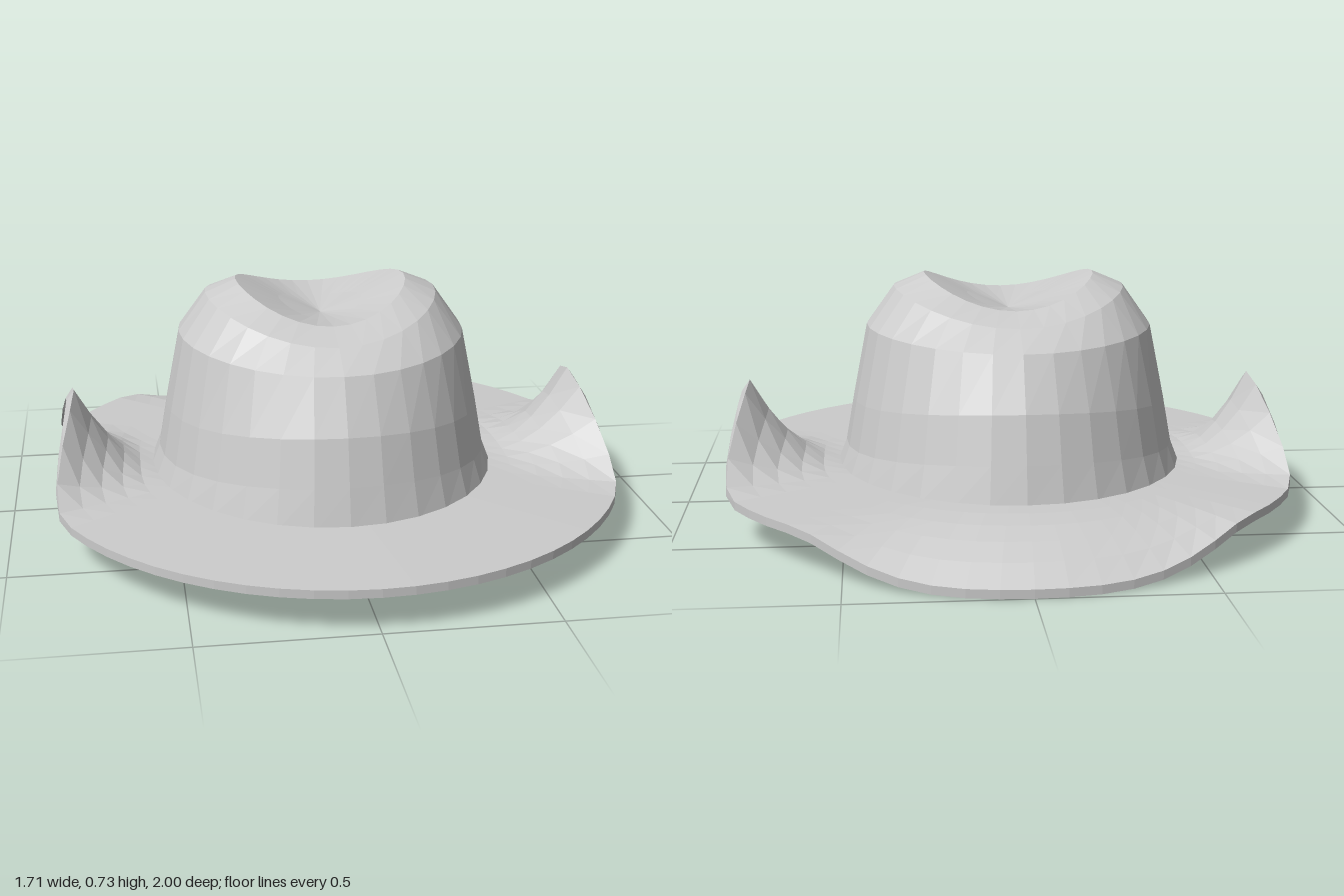
import * as THREE from 'three';

const CENTRE_X = -0.02; // the crown sits a touch off centre

// Skin a stack of rings; pointAt(ring, angle) gives [x, y, z].
function loft(rings, segments, pointAt) {
  const pos = [], idx = [];
  for (const ring of rings) {
    for (let j = 0; j < segments; j++) pos.push(...pointAt(ring, (j / segments) * Math.PI * 2));
  }
  for (let i = 0; i < rings.length - 1; i++) {
    for (let j = 0; j < segments; j++) {
      const k = (j + 1) % segments;
      const a = i * segments + j, b = i * segments + k;
      const c = b + segments, d = a + segments;
      if (rings[i].rx !== 0) idx.push(a, b, c);
      if (rings[i + 1].rx !== 0) idx.push(a, c, d);
    }
  }
  const geo = new THREE.BufferGeometry();
  geo.setAttribute('position', new THREE.Float32BufferAttribute(pos, 3));
  geo.setIndex(idx);
  geo.computeVertexNormals();
  return geo;
}

// Crown: each ring is an ellipse whose height differs at the sides and at front/back.
function crownGeometry() {
  const outer = [
    [0.545, 0.62, 0.125, 0.125],
    [0.515, 0.592, 0.2, 0.25],
    [0.49, 0.56, 0.34, 0.39],
    [0.445, 0.487, 0.57, 0.55],
    [0.36, 0.39, 0.69, 0.608],
    [0.265, 0.29, 0.73, 0.645],
    [0.13, 0.145, 0.665, 0.63],
    [0, 0, 0.615, 0.615],
  ].map(([rx, rz, side, front]) => ({ rx, rz, side, front }));
  // lining, from the middle of the dent down to the opening
  const inner = outer.slice().reverse().map((r) => ({
    rx: r.rx && r.rx - 0.03,
    rz: r.rz && r.rz - 0.03,
    side: r.side - 0.02,
    front: r.front - 0.02,
  }));
  return loft([...outer, ...inner], 32, (r, a) => {
    const s = Math.sin(a), c = Math.cos(a);
    return [CENTRE_X + r.rx * s, r.front + (r.side - r.front) * s * s, r.rz * c - 0.005];
  });
}

// Brim: rings run outward underneath, over the rim and back in on top.
function brimGeometry() {
  const steps = [0, 0.2, 0.4, 0.6, 0.8, 1];
  const under = steps.map((t) => ({ rx: 0.515, rz: 0.59, t, top: 0 }));
  const over = steps.slice().reverse().map((t) => ({ rx: 0.53, rz: 0.605, t, top: 1 }));
  return loft([...under, ...over], 64, (r, a) => {
    const s = Math.sin(a), c = Math.cos(a);
    // side curl, strongest at the middle of each side
    const dz = c + 0.01;
    const curl = Math.abs(dz) < 0.45 ? Math.cos((Math.PI * dz) / 0.9) ** 2 : 0;
    // droop at the back
    const droop = THREE.MathUtils.smoothstep(-c, 0.72, 0.99);
    const edgeX = s * (0.92 - (r.top ? 0.125 : 0.1) * curl);
    const x = THREE.MathUtils.lerp(CENTRE_X + r.rx * s, edgeX, r.t);
    const z = THREE.MathUtils.lerp(r.rz * c - 0.005, c, r.t);
    const base = r.top ? 0.142 - 0.012 * r.t : 0.105;
    const rise = (r.top ? 0.265 : 0.255) * curl * r.t ** 2;
    return [x, base + rise - 0.105 * droop * r.t ** 2.5, z];
  });
}

export function createModel() {
  const hat = new THREE.Group();
  hat.name = 'hat';
  const felt = new THREE.MeshStandardMaterial({ color: 0xcccccc, flatShading: true });

  const crown = new THREE.Mesh(crownGeometry(), felt);
  crown.name = 'crown';
  const brim = new THREE.Mesh(brimGeometry(), felt);
  brim.name = 'brim';

  hat.add(crown, brim);
  return hat;
}
